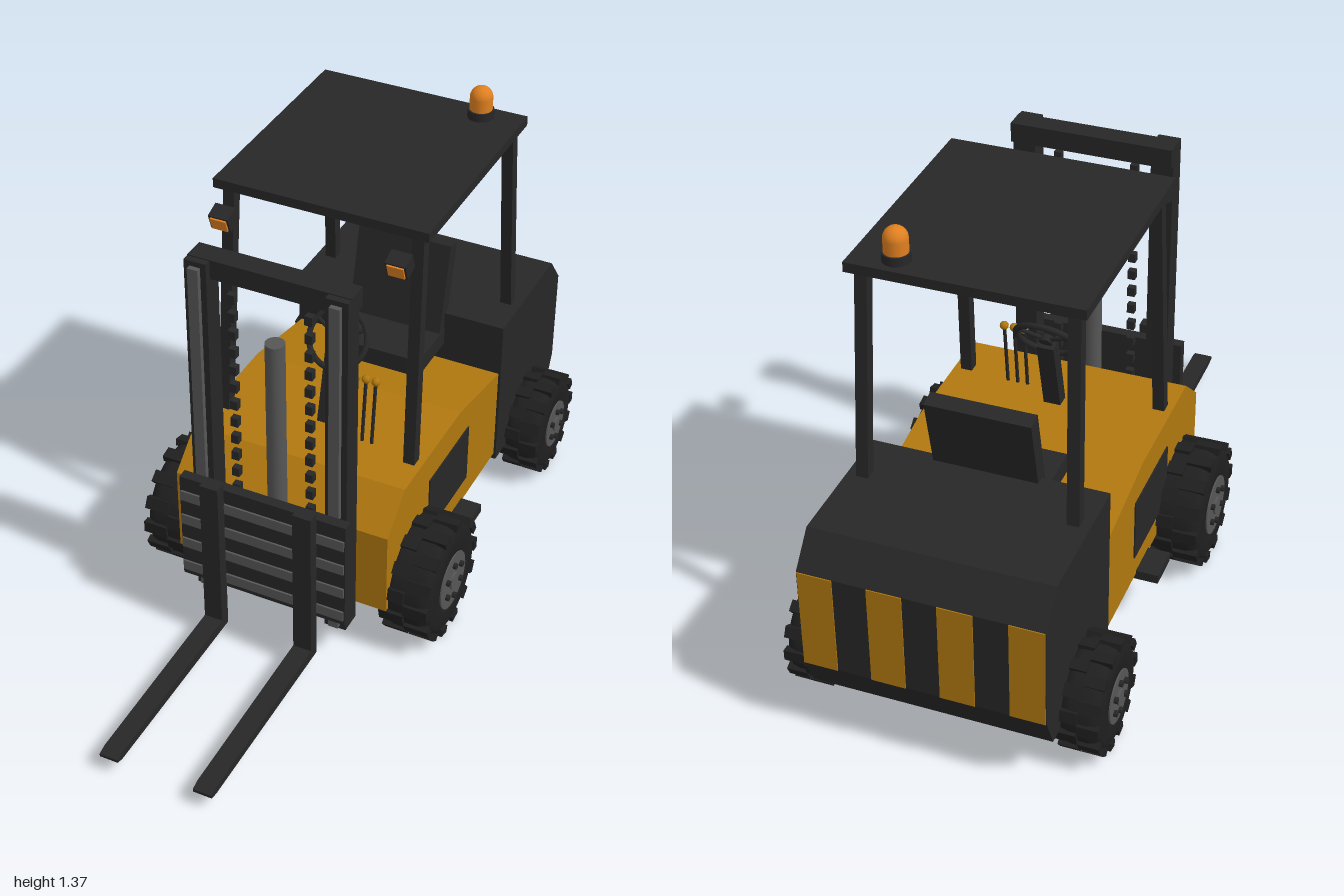
import * as THREE from 'three';

const mat = (name, color) => Object.assign(new THREE.MeshStandardMaterial({ color }), { name });

export function createModel() {
  const yellow = mat('bodyYellow', 0xb0780f);
  const dark = mat('darkSteel', 0x272727);
  const rubber = mat('rubber', 0x1f1f1f);
  const grey = mat('greySteel', 0x565656);
  const orange = mat('signalOrange', 0xe08020);

  const model = new THREE.Group();
  model.name = 'forklift';

  const add = (name, geo, material, x = 0, y = 0, z = 0, parent = model) => {
    const m = new THREE.Mesh(geo, material);
    m.name = name;
    m.position.set(x, y, z);
    parent.add(m);
    return m;
  };
  // box given by its limits on each axis
  const box = (name, material, [x0, x1], [y0, y1], [z0, z1], parent = model) =>
    add(name, new THREE.BoxGeometry(x1 - x0, y1 - y0, z1 - z0), material,
      (x0 + x1) / 2, (y0 + y1) / 2, (z0 + z1) / 2, parent);
  // side profile of [z, y] points, extruded across x
  const slab = (name, material, points, width, x = 0) => {
    const shape = new THREE.Shape(points.map(([z, y]) => new THREE.Vector2(z, y)));
    const geo = new THREE.ExtrudeGeometry(shape, { depth: width, bevelEnabled: false });
    geo.translate(0, 0, -width / 2).rotateY(-Math.PI / 2);
    return add(name, geo, material, x);
  };
  // straight bar between two points
  const bar = (name, material, a, b, w, d = w, round = false, parent = model) => {
    const from = new THREE.Vector3(...a), to = new THREE.Vector3(...b);
    const len = from.distanceTo(to);
    const geo = round ? new THREE.CylinderGeometry(w / 2, w / 2, len, 10) : new THREE.BoxGeometry(w, len, d);
    const m = add(name, geo, material, 0, 0, 0, parent);
    m.position.copy(from).lerp(to, 0.5);
    m.quaternion.setFromUnitVectors(new THREE.Vector3(0, 1, 0), to.sub(from).normalize());
    return m;
  };

  // chassis and counterweight
  slab('body', yellow, [[0.265, 0.17], [0.265, 0.435], [0.155, 0.53], [-0.235, 0.53], [-0.54, 0.472], [-0.54, 0.17]], 0.66);
  slab('counterweight', dark, [[-0.53, 0.15], [-0.53, 0.64], [-0.925, 0.64], [-1, 0.55], [-1, 0.25], [-0.955, 0.15]], 0.674);
  for (let i = 0; i < 4; i++) {
    const x = (i - 1.5) * 0.191;
    box('warningStripe', yellow, [x - 0.048, x + 0.048], [0.25, 0.55], [-1.003, -0.998]);
  }

  // wheels: lathed tyre, staggered tread blocks, rim and bolts
  const wheel = (name, side, z, y, radius, inner, outer, rimR) => {
    const g = new THREE.Group();
    g.name = name;
    const w = outer - inner, h = w / 2, r = radius - 0.009;
    const profile = [[0, -h], [r * 0.86, -h], [r * 0.96, -h + 0.012], [r, -h + 0.035],
      [r, h - 0.035], [r * 0.96, h - 0.012], [r * 0.86, h], [rimR, h], [rimR, h - 0.012], [0, h - 0.012]]
      .map(([a, b]) => new THREE.Vector2(a, b));
    add('tyre', new THREE.LatheGeometry(profile, 32).rotateZ(-Math.PI / 2), rubber, 0, 0, 0, g);
    const lug = new THREE.BoxGeometry(w * 0.5, 0.022, radius * 0.2);
    const count = 14;
    for (let i = 0; i < count * 2; i++) {
      const a = (i / (count * 2)) * Math.PI * 2, s = i % 2 ? 1 : -1;
      const m = add('tread', lug, rubber, s * w * 0.25, Math.cos(a) * (radius - 0.011), Math.sin(a) * (radius - 0.011), g);
      m.rotation.x = a;
    }
    const disc = (n, material, rad, x0, x1, py = 0, pz = 0, seg = 24) =>
      add(n, new THREE.CylinderGeometry(rad, rad, x1 - x0, seg).rotateZ(Math.PI / 2), material, (x0 + x1) / 2, py, pz, g);
    disc('rim', grey, rimR, h - 0.03, h + 0.004);
    disc('hub', grey, rimR * 0.3, h, h + 0.01, 0, 0, 16);
    for (let i = 0; i < 6; i++) {
      const a = (i / 6) * Math.PI * 2;
      disc('wheelBolt', dark, 0.009, h, h + 0.014, Math.cos(a) * rimR * 0.62, Math.sin(a) * rimR * 0.62, 8);
    }
    g.position.set(side * (inner + outer) / 2, y, z);
    if (side < 0) g.rotation.y = Math.PI;
    model.add(g);
  };

  for (const s of [-1, 1]) {
    const span = (a, b) => [Math.min(s * a, s * b), Math.max(s * a, s * b)];
    wheel('frontWheel', s, 0.08, 0.188, 0.183, 0.305, 0.452, 0.088);
    wheel('rearWheel', s, -0.757, 0.168, 0.16, 0.325, 0.443, 0.075);

    // side panel and step
    box('sidePanel', dark, span(0.326, 0.334), [0.245, 0.435], [-0.3, -0.018]);
    box('step', dark, span(0.28, 0.395), [0.152, 0.18], [-0.275, -0.165]);

    // mast upright with its inner rail
    box('mastUpright', dark, span(0.171, 0.236), [0.113, 1.225], [0.265, 0.33]);
    box('mastRail', grey, span(0.188, 0.219), [0.125, 1.21], [0.32, 0.345]);

    // lift chain
    for (let i = 0; i < 16; i++)
      add('chainLink', new THREE.BoxGeometry(0.022, 0.028, 0.02), dark, s * 0.113, 1.122 - i * 0.0575, 0.3);

    // fork
    slab('fork', dark, [[0.38, 0.045], [0.38, 0.555], [0.415, 0.555], [0.415, 0.077], [0.975, 0.07],
      [1, 0.062], [1, 0.053], [0.975, 0.047]], 0.056, s * 0.142);

    // overhead guard posts
    bar('frontPost', dark, [s * 0.293, 0.5, 0.032], [s * 0.28, 1.255, -0.018], 0.034);
    bar('rearPost', dark, [s * 0.293, 0.6, -0.676], [s * 0.28, 1.255, -0.633], 0.034);

    // work light, tilted down
    const lamp = new THREE.Group();
    lamp.name = 'workLight';
    box('lampHousing', dark, [-0.03, 0.03], [-0.025, 0.025], [-0.025, 0.022], lamp);
    box('lampLens', orange, [-0.024, 0.024], [-0.02, 0.02], [0.02, 0.027], lamp);
    lamp.position.set(s * 0.26, 1.198, 0.072);
    lamp.rotation.x = 0.35;
    model.add(lamp);
  }

  // mast crossbeams and lift cylinder
  box('mastTopBeam', dark, [-0.236, 0.236], [1.17, 1.228], [0.245, 0.31]);
  box('mastBottomBeam', dark, [-0.2, 0.2], [0.18, 0.23], [0.265, 0.31]);
  add('liftCylinder', new THREE.CylinderGeometry(0.028, 0.028, 0.85, 20), grey, 0, 0.575, 0.279);

  // fork carriage
  box('carriage', dark, [-0.255, 0.255], [0.178, 0.53], [0.345, 0.376]);
  for (let i = 0; i < 4; i++) {
    const y = 0.212 + i * 0.085;
    box('carriageBar', grey, [-0.252, 0.252], [y - 0.016, y + 0.016], [0.37, 0.382]);
  }

  // overhead guard roof
  box('roof', dark, [-0.318, 0.318], [1.25, 1.278], [-0.67, 0.018]);
  for (let i = 0; i < 5; i++) {
    const z = -0.045 - i * 0.141;
    box('roofSlat', grey, [-0.268, 0.268], [1.222, 1.252], [z - 0.011, z + 0.011]);
  }

  // beacon
  add('beaconBase', new THREE.CylinderGeometry(0.038, 0.038, 0.026, 20), dark, 0.198, 1.29, -0.613);
  add('beaconBody', new THREE.CylinderGeometry(0.033, 0.033, 0.04, 20), orange, 0.198, 1.32, -0.613);
  add('beaconDome', new THREE.SphereGeometry(0.033, 20, 8, 0, Math.PI * 2, 0, Math.PI / 2), orange, 0.198, 1.34, -0.613);

  // seat
  box('seatBase', dark, [-0.12, 0.12], [0.48, 0.54], [-0.54, -0.37]);
  box('seatCushion', dark, [-0.15, 0.15], [0.53, 0.585], [-0.56, -0.34]);
  bar('seatBack', dark, [0, 0.56, -0.515], [0, 0.854, -0.58], 0.296, 0.047);

  // steering column and wheel
  bar('steeringColumn', dark, [0, 0.51, -0.035], [0, 0.755, -0.095], 0.05, 0.04);
  const steering = new THREE.Group();
  steering.name = 'steeringWheel';
  add('steeringRim', new THREE.TorusGeometry(0.088, 0.009, 8, 32), dark, 0, 0, 0, steering);
  add('steeringHub', new THREE.CylinderGeometry(0.02, 0.02, 0.02, 12).rotateX(Math.PI / 2), dark, 0, 0, 0, steering);
  for (let i = 0; i < 3; i++) {
    const a = Math.PI / 6 + (i * Math.PI * 2) / 3;
    bar('steeringSpoke', dark, [0, 0, 0], [Math.cos(a) * 0.086, Math.sin(a) * 0.086, 0], 0.012, 0.012, true, steering);
  }
  steering.position.set(0, 0.773, -0.103);
  steering.rotation.x = -0.61;
  model.add(steering);

  // control levers
  for (const x of [0.1, 0.13, 0.16]) {
    bar('lever', dark, [x, 0.52, 0.008], [x, 0.725, -0.014], 0.01, 0.01, true);
    add('leverKnob', new THREE.SphereGeometry(0.013, 12, 8), yellow, x, 0.73, -0.015);
  }

  return model;
}
